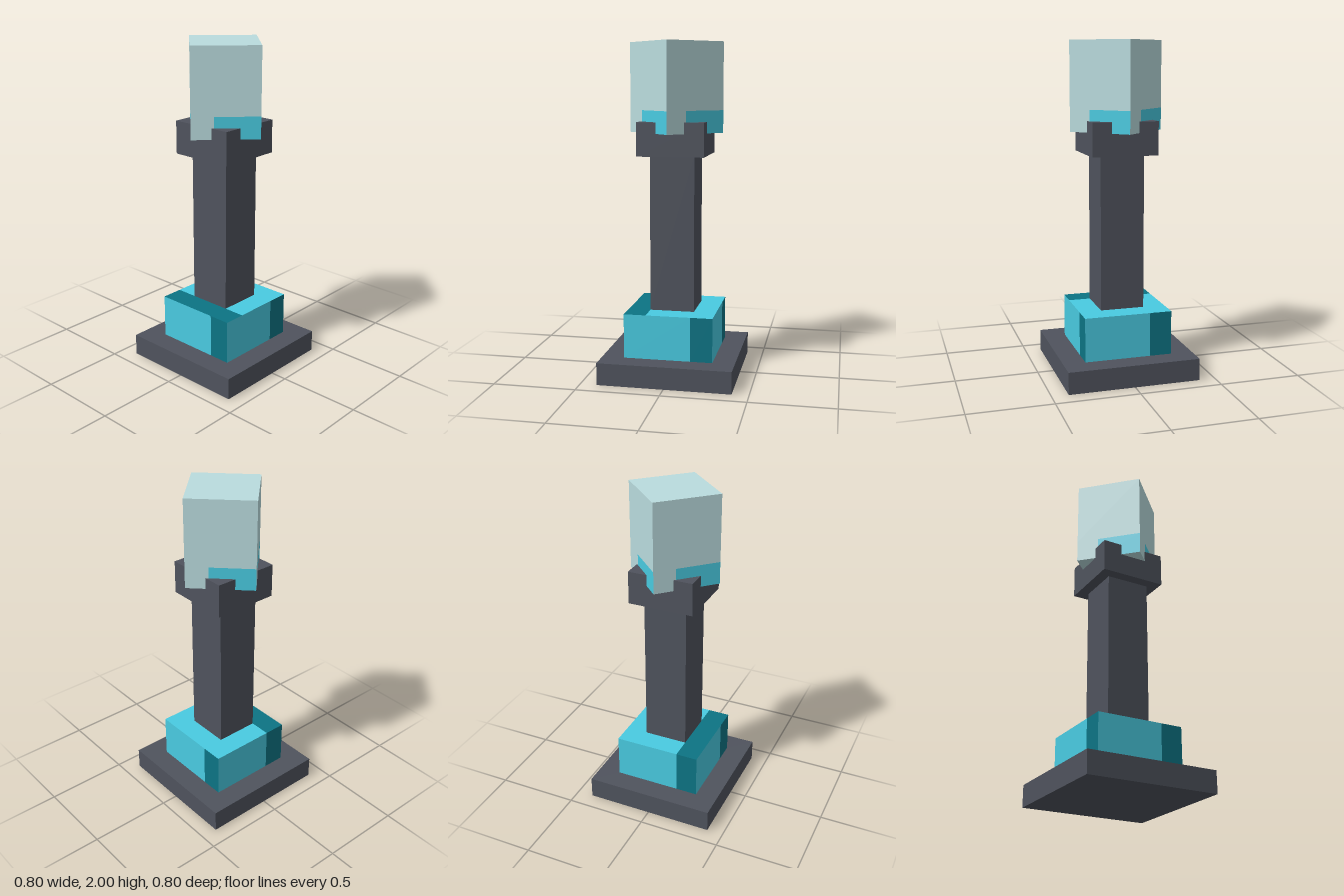
import * as THREE from 'three';

const U = 1 / 15; // one modelling unit

export function createModel() {
  const mat = (name, color) => {
    const m = new THREE.MeshStandardMaterial({ color });
    m.name = name;
    return m;
  };
  const slate = mat('slate', 0x4f535d);
  const cyan = mat('cyan', 0x49cbe1);
  const teal = mat('dark teal', 0x0c7484);
  const pale = mat('pale crystal', 0xbadcde);

  const model = new THREE.Group();
  model.name = 'pillarLamp';

  // Square box centred on the axis, from y0 to y1
  const box = (name, material, width, y0, y1) => {
    const geo = new THREE.BoxGeometry(width * U, (y1 - y0) * U, width * U);
    const mesh = new THREE.Mesh(geo, material);
    mesh.name = name;
    mesh.position.y = ((y0 + y1) / 2) * U;
    model.add(mesh);
  };

  // Flat panel facing +z, spanning x0..x1 and y0..y1 at depth z
  const panel = (parent, name, material, x0, x1, y0, y1, z) => {
    const mesh = new THREE.Mesh(new THREE.PlaneGeometry((x1 - x0) * U, (y1 - y0) * U), material);
    mesh.name = name;
    mesh.position.set(((x0 + x1) / 2) * U, ((y0 + y1) / 2) * U, z * U);
    parent.add(mesh);
  };

  // Prism whose four sides carry the same set of panels
  const prism = (name, sidePanels, half) => {
    const group = new THREE.Group();
    group.name = name;
    for (let i = 0; i < 4; i++) {
      const side = new THREE.Group();
      side.name = name + 'Side';
      side.rotation.y = (i * Math.PI) / 2;
      for (const [part, m, x0, x1, y0, y1] of sidePanels) panel(side, part, m, x0, x1, y0, y1, half);
      group.add(side);
    }
    model.add(group);
    return group;
  };

  // Horizontal cap of a prism, facing up (dir 1) or down (dir -1)
  const cap = (parent, name, y, dir) => {
    const group = new THREE.Group();
    group.name = name;
    group.rotation.x = (-dir * Math.PI) / 2;
    group.position.y = y * U;
    parent.add(group);
    return group;
  };

  // Stone parts
  box('base', slate, 12, 0, 2);
  box('shaft', slate, 4, 6, 20);
  box('capital', slate, 6, 20, 23);

  // Two-tone plinth: a dark strip on each side and along the top
  const plinth = prism('plinth', [
    ['plinthFace', cyan, -4, 2, 2, 6],
    ['plinthStrip', teal, 2, 4, 2, 6],
  ], 4);
  const plinthTop = cap(plinth, 'plinthTop', 6, 1);
  panel(plinthTop, 'plinthTopStrip', teal, -4, -2, -4, 4, 0);
  panel(plinthTop, 'plinthTopFace', cyan, -2, 4, -4, 4, 0);

  // Crystal turned by 45 degrees, with a glowing patch low on each side
  const crystal = prism('crystal', [
    ['crystalFace', pale, -3, 3, 24, 30],
    ['crystalLowerFace', pale, -3, -1, 22, 24],
    ['crystalGlow', cyan, -1, 3, 22, 24],
  ], 3);
  crystal.rotation.y = Math.PI / 4;
  panel(cap(crystal, 'crystalTop', 30, 1), 'crystalTopFace', pale, -3, 3, -3, 3, 0);
  panel(cap(crystal, 'crystalBottom', 22, -1), 'crystalBottomFace', pale, -3, 3, -3, 3, 0);

  return model;
}
